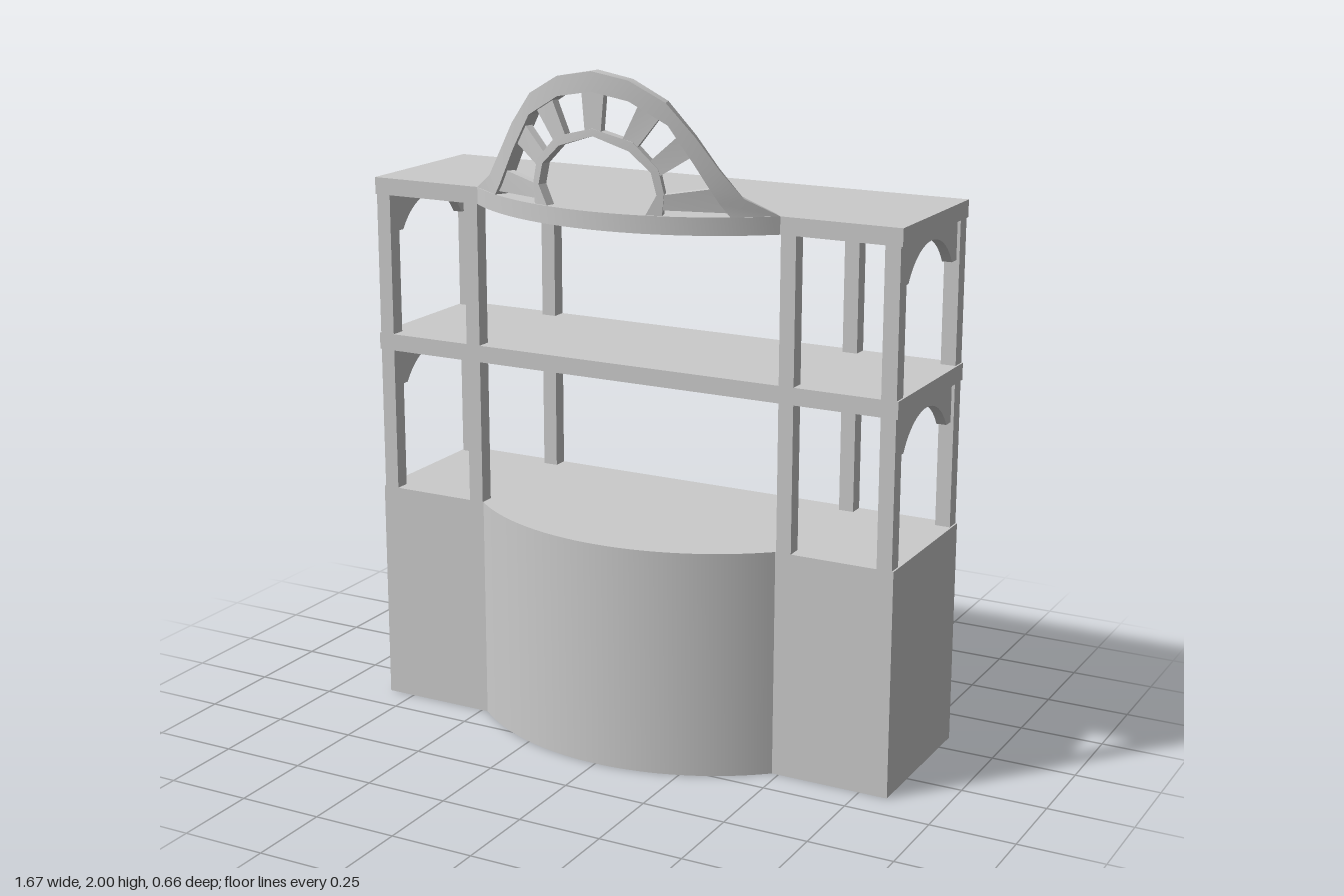
import * as THREE from 'three';
import { toCreasedNormals } from 'three/addons/utils/BufferGeometryUtils.js';

const W = 0.835, BACK = -0.33, FRONT = 0.15;      // carcass footprint
const BOW_R = 0.73, BOW_Z = -0.4, BOW_X = 0.48;   // bowed front arc

export function createModel() {
  const group = new THREE.Group();
  const material = new THREE.MeshStandardMaterial({ color: 0xcccccc });
  const add = (name, geometry, x = 0, y = 0, z = 0) => {
    const mesh = new THREE.Mesh(geometry, material);
    mesh.name = name;
    mesh.position.set(x, y, z);
    group.add(mesh);
  };
  const box = (name, w, y0, y1, d, x, z) =>
    add(name, new THREE.BoxGeometry(w, y1 - y0, d), x, (y0 + y1) / 2, z);

  // Slab with a bowed front, extruded between two heights
  const bowedSlab = (name, y0, y1) => {
    const a = Math.atan2(FRONT - BOW_Z, BOW_X);
    const s = new THREE.Shape();
    s.moveTo(-W, BACK);
    s.lineTo(W, BACK);
    s.lineTo(W, FRONT);
    s.lineTo(BOW_X, FRONT);
    s.absarc(0, BOW_Z, BOW_R, a, Math.PI - a, false);
    s.lineTo(-W, FRONT);
    const g = new THREE.ExtrudeGeometry(s, { depth: y1 - y0, bevelEnabled: false, curveSegments: 24 });
    g.rotateX(Math.PI / 2);
    add(name, toCreasedNormals(g, 0.3), 0, y1, 0);
  };
  bowedSlab('base', 0, 0.67);
  bowedSlab('topShelf', 1.57, 1.62);
  box('middleShelf', 2 * W, 1.1, 1.15, FRONT - BACK, 0, (FRONT + BACK) / 2);

  // Arched spandrel between the end posts
  const spandrel = () => {
    const half = 0.193, spring = 0.16, rise = 0.09, h = 0.115;
    const r = (spring * spring + rise * rise) / (2 * rise);
    const a = Math.asin(spring / r);
    const s = new THREE.Shape();
    s.moveTo(-half, 0);
    s.lineTo(-spring, 0);
    s.absarc(0, rise - r, r, Math.PI / 2 + a, Math.PI / 2 - a, true);
    s.lineTo(half, 0);
    s.lineTo(half, h);
    s.lineTo(-half, h);
    const g = new THREE.ExtrudeGeometry(s, { depth: 0.03, bevelEnabled: false, curveSegments: 16 });
    g.translate(0, 0, -0.015).rotateY(-Math.PI / 2);
    return toCreasedNormals(g, 0.4);
  };

  // Two open storeys of posts and end arches
  const P = 0.045;
  for (const [y0, y1] of [[0.67, 1.1], [1.15, 1.57]]) {
    for (const side of [-1, 1]) {
      for (const z of [FRONT - P / 2, BACK + P / 2]) {
        box('cornerPost', P, y0, y1, P, side * 0.8075, z);
        box('innerPost', P, y0, y1, P, side * 0.505, z);
      }
      add('endArch', spandrel(), side * 0.8075, y1 - 0.115, -0.0875);
    }
  }

  // Solid strip between two edge lines, bent round the bow; runs from right to left
  const band = (name, outer, inner, d0, d1) => {
    const pos = [], index = [];
    const put = ([x, y], d) => {
      const t = Math.asin(x / BOW_R), r = BOW_R - d;
      pos.push(r * Math.sin(t), y, BOW_Z + r * Math.cos(t));
    };
    outer.forEach((o, i) => {
      put(o, d0);
      put(inner[i], d0);
      put(inner[i], d1);
      put(o, d1);
    });
    const n = outer.length;
    for (let i = 0; i < n - 1; i++) {
      for (let j = 0; j < 4; j++) {
        const a = i * 4 + j, b = i * 4 + (j + 1) % 4;
        index.push(a, b + 4, b, a, a + 4, b + 4);
      }
    }
    const e = (n - 1) * 4;
    index.push(0, 1, 2, 0, 2, 3, e, e + 2, e + 1, e, e + 3, e + 2);
    const g = new THREE.BufferGeometry();
    g.setAttribute('position', new THREE.Float32BufferAttribute(pos, 3));
    g.setIndex(index);
    add(name, toCreasedNormals(g, 0.35));
  };
  const flip = (pts) => pts.map(([x, y]) => [-x, y]).reverse();
  const whole = (pts) => [...pts, ...flip(pts).slice(1)];

  // Crest: outer arch and inner fan ring
  band('crestArch',
    whole([[0.48, 1.62], [0.4, 1.67], [0.345, 1.745], [0.285, 1.835], [0.21, 1.925], [0.11, 1.98], [0, 2]]),
    whole([[0.37, 1.62], [0.345, 1.655], [0.315, 1.705], [0.28, 1.765], [0.215, 1.865], [0.11, 1.925], [0, 1.945]]),
    0, 0.04);
  band('crestInnerRing',
    whole([[0.2, 1.62], [0.205, 1.68], [0.19, 1.745], [0.12, 1.815], [0, 1.845]]),
    whole([[0.155, 1.62], [0.185, 1.675], [0.17, 1.735], [0.11, 1.79], [0, 1.825]]),
    0.005, 0.035);

  // Fan spokes: outer edge (right, left), inner edge (right, left)
  band('crestSpoke', [[0.035, 1.945], [-0.035, 1.945]], [[0.025, 1.835], [-0.025, 1.835]], 0.008, 0.032);
  const spokes = [
    [[[0.195, 1.885], [0.135, 1.915]], [[0.13, 1.8], [0.09, 1.822]]],
    [[[0.275, 1.78], [0.24, 1.835]], [[0.19, 1.725], [0.165, 1.765]]],
    [[[0.365, 1.63], [0.325, 1.695]], [[0.19, 1.635], [0.195, 1.675]]],
  ];
  for (const [outer, inner] of spokes) {
    band('crestSpoke', outer, inner, 0.008, 0.032);
    band('crestSpoke', flip(outer), flip(inner), 0.008, 0.032);
  }
  return group;
}
